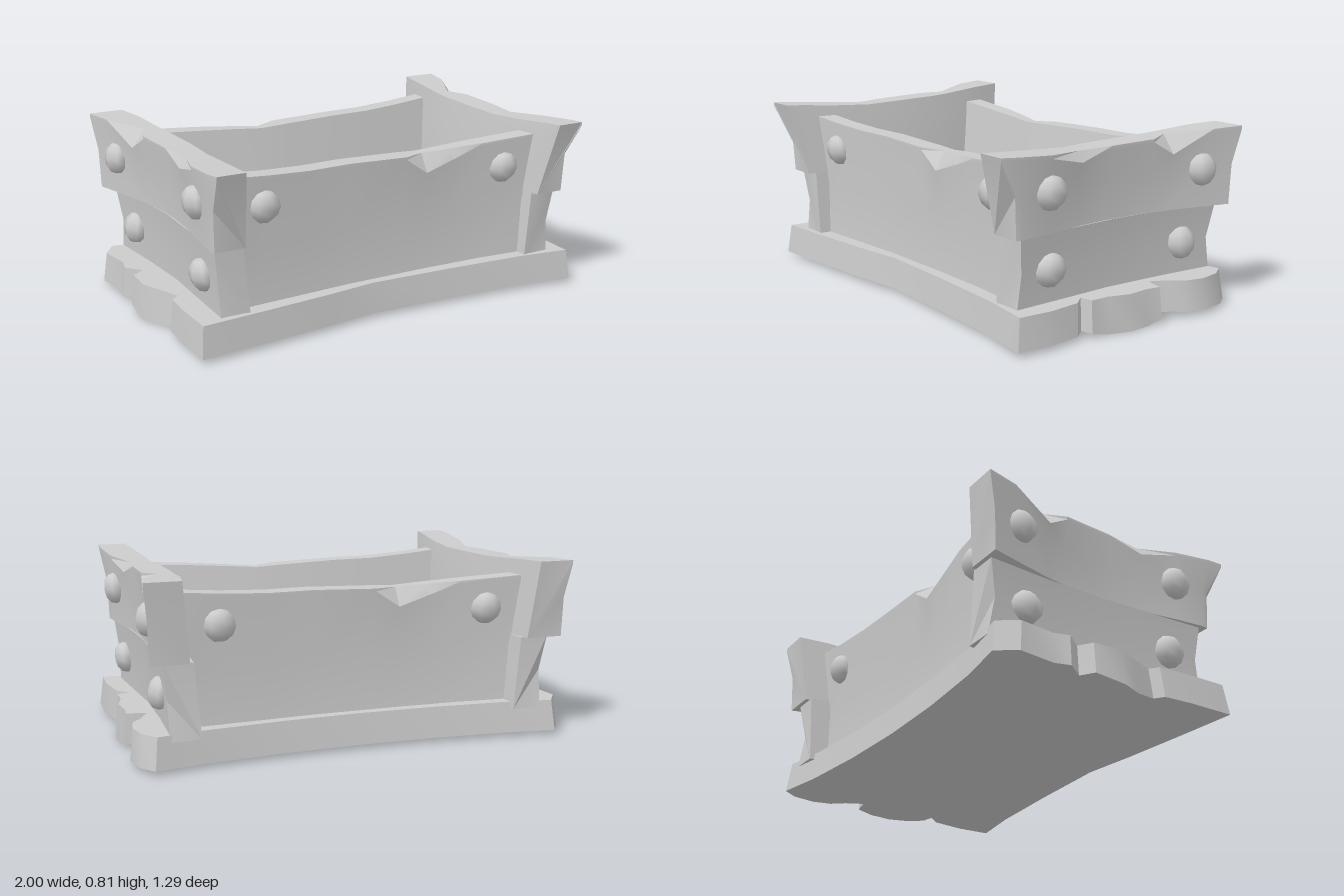
import * as THREE from 'three';
import { toCreasedNormals } from 'three/addons/utils/BufferGeometryUtils.js';

const material = new THREE.MeshStandardMaterial({ color: 0xcccccc });

function addMesh(parent, name, geometry) {
  const mesh = new THREE.Mesh(geometry, material);
  mesh.name = name;
  parent.add(mesh);
  return mesh;
}

// Closed solid skinned over a row of cross-sections, each a ring of [x, y, z]
function loft(rings) {
  const n = rings[0].length, index = [];
  for (let i = 0; i < rings.length - 1; i++) {
    for (let j = 0; j < n; j++) {
      const a = i * n + j, b = i * n + (j + 1) % n;
      index.push(a, b, a + n, b, b + n, a + n);
    }
  }
  const last = (rings.length - 1) * n;
  for (let j = 1; j < n - 1; j++) {
    index.push(0, j + 1, j, last, last + j, last + j + 1);
  }
  // Turn the faces outward if the enclosed volume comes out negative
  const points = rings.flat().map((p) => new THREE.Vector3(...p));
  let volume = 0;
  for (let i = 0; i < index.length; i += 3) {
    const [a, b, c] = [0, 1, 2].map((k) => points[index[i + k]]);
    volume += a.dot(b.clone().cross(c));
  }
  if (volume < 0) index.reverse();
  const geometry = new THREE.BufferGeometry().setFromPoints(points);
  geometry.setIndex(index);
  return toCreasedNormals(geometry, 0.5);
}

// Rounded, slightly uneven stud flattened along its local z
function addStud(parent, x, y, z, turn, tilt) {
  const stud = addMesh(parent, 'stud', new THREE.SphereGeometry(0.074, 7, 6));
  stud.position.set(x, y, z);
  stud.rotation.set(tilt, turn, 0, 'YXZ');
  stud.scale.z = 0.75;
}

// Base slab with worn plank ends and waisted long sides
function makeBase() {
  const outline = [
    [-0.97, 0.57], [-0.7, 0.55], [-0.35, 0.52], [-0.1, 0.49], [0.3, 0.51], [0.7, 0.54], [0.95, 0.58],
    [0.96, 0.42], [0.94, 0.26], [0.89, 0.2], [0.95, 0.19], [0.95, 0.1], [0.98, 0], [0.97, -0.11],
    [0.98, -0.18], [0.89, -0.2], [0.93, -0.28], [0.98, -0.34], [1, -0.43], [0.98, -0.54], [0.93, -0.61],
    [0.7, -0.57], [0.35, -0.54], [0, -0.53], [-0.35, -0.54], [-0.7, -0.57], [-0.93, -0.61],
    [-0.99, -0.52], [-0.97, -0.35], [-0.99, -0.28], [-0.93, -0.2], [-0.99, -0.16], [-1, -0.02],
    [-0.96, 0.08], [-0.92, 0.19], [-0.96, 0.22], [-0.97, 0.35],
  ];
  const level = (y, s, sag) => outline.map(([x, z]) =>
    [x * s, y - (sag && Math.abs(z) < 0.15 ? 0.02 : 0), z * s]);
  const shape = new THREE.Shape(outline.map(([x, z]) => new THREE.Vector2(x, -z)));
  const geometry = new THREE.ExtrudeGeometry(shape, { depth: 0.14, bevelEnabled: false });
  geometry.rotateX(-Math.PI / 2).translate(0, 0.02, 0);
  // Taper the upper face a little and let the middle plank ends sag
  const p = geometry.attributes.position;
  for (let i = 0; i < p.count; i++) {
    if (p.getY(i) > 0.1) p.setXYZ(i, p.getX(i) * 0.985, 0.16, p.getZ(i) * 0.97);
    else if (Math.abs(p.getX(i)) > 0.94 && Math.abs(p.getZ(i)) < 0.12) p.setY(i, 0);
  }
  return toCreasedNormals(geometry, 0.5);
}

// Long wall: x, top height, inner top z, outer top z, depth of chip on the outer edge
function makeLongWall() {
  const sections = [
    [-0.78, 0.74, 0.39, 0.48, 0], [-0.6, 0.725, 0.38, 0.47, 0], [-0.4, 0.715, 0.365, 0.46, 0],
    [-0.2, 0.715, 0.355, 0.45, 0], [0.09, 0.705, 0.35, 0.45, 0], [0.2, 0.7, 0.35, 0.45, 0.07],
    [0.34, 0.71, 0.36, 0.455, 0.035], [0.5, 0.72, 0.37, 0.46, 0], [0.78, 0.735, 0.39, 0.485, 0],
  ];
  return loft(sections.map(([x, y, zIn, zOut, chip]) => [
    [x, 0.13, zIn - 0.085], [x, y, zIn], [x, y, zOut - chip * 0.7],
    [x, y - 0.012 - chip, zOut], [x, 0.4, zOut - 0.03], [x, 0.13, zOut - 0.015],
  ]));
}

// Upper end board: top z, middle z, bottom z, inner top x, outer top x, top height, chip
function makeUpperEnd() {
  const sections = [
    [0.645, 0.56, 0.55, 0.79, 0.92, 0.805, 0], [0.57, 0.53, 0.52, 0.785, 0.925, 0.8, 0],
    [0.38, 0.38, 0.38, 0.765, 0.91, 0.785, 0], [0.2, 0.2, 0.2, 0.755, 0.885, 0.775, 0.03],
    [0.03, 0.03, 0.03, 0.75, 0.875, 0.78, 0], [-0.2, -0.2, -0.2, 0.755, 0.885, 0.785, 0],
    [-0.3, -0.3, -0.3, 0.765, 0.9, 0.79, 0.065], [-0.5, -0.48, -0.48, 0.785, 0.94, 0.805, 0],
    [-0.645, -0.61, -0.605, 0.81, 0.97, 0.81, 0],
  ];
  return loft(sections.map(([zt, zm, zb, xIn, xOut, y, chip]) => [
    [xIn - 0.035, 0.46, zb], [xIn - 0.02, 0.64, zm], [xIn, y, zt],
    [xOut - chip, y, zt], [xOut, y - 0.015 - chip, zt],
    [xOut - 0.02, 0.64, zm], [xOut - 0.025, 0.46, zb],
  ]));
}

// Lower end board: top z, middle z, inner top x, outer top x
function makeLowerEnd() {
  const sections = [
    [0.515, 0.495, 0.75, 0.88], [0.3, 0.3, 0.735, 0.87], [0, 0, 0.725, 0.855],
    [-0.3, -0.3, 0.735, 0.865], [-0.585, -0.555, 0.755, 0.885],
  ];
  return loft(sections.map(([zt, zm, xIn, xOut]) => [
    [xIn - 0.03, 0.13, zt], [xIn - 0.015, 0.3, zm], [xIn, 0.462, zt],
    [xOut, 0.462, zt], [xOut - 0.02, 0.3, zm], [xOut - 0.025, 0.13, zt],
  ]));
}

// Mirror a geometry across x, restoring face winding
function mirrorX(geometry) {
  const g = geometry.clone();
  for (const key of ['position', 'normal']) {
    const a = g.attributes[key];
    for (let i = 0; i < a.count; i += 3) {
      const v = [0, 2, 1].map((k) => [-a.getX(i + k), a.getY(i + k), a.getZ(i + k)]);
      v.forEach((p, k) => a.setXYZ(i + k, ...p));
    }
  }
  return g;
}

export function createModel() {
  const model = new THREE.Group();
  model.name = 'trough';
  addMesh(model, 'base', makeBase());

  // Front and back walls, the back one turned half round
  const wall = makeLongWall();
  addMesh(model, 'frontWall', wall);
  const back = addMesh(model, 'backWall', wall);
  back.rotation.y = Math.PI;
  back.position.z = -0.035;
  for (const x of [-0.62, 0.62]) {
    addStud(model, x, 0.59, 0.455, 0, 0.2);
    addStud(model, x, 0.59, -0.49, Math.PI, 0.2);
  }

  // End walls, each of two boards and four studs
  const upper = makeUpperEnd(), lower = makeLowerEnd();
  for (const side of [1, -1]) {
    const end = new THREE.Group();
    end.name = side > 0 ? 'leftEnd' : 'rightEnd';
    addMesh(end, 'upperBoard', side > 0 ? upper : mirrorX(upper));
    addMesh(end, 'lowerBoard', side > 0 ? lower : mirrorX(lower));
    const turn = side * Math.PI / 2;
    addStud(end, side * 0.895, 0.63, 0.375, turn, 0.1);
    addStud(end, side * 0.915, 0.63, -0.46, turn, -0.1);
    addStud(end, side * 0.86, 0.3, 0.345, turn, 0.15);
    addStud(end, side * 0.86, 0.3, -0.4, turn, -0.15);
    model.add(end);
  }
  return model;
}
